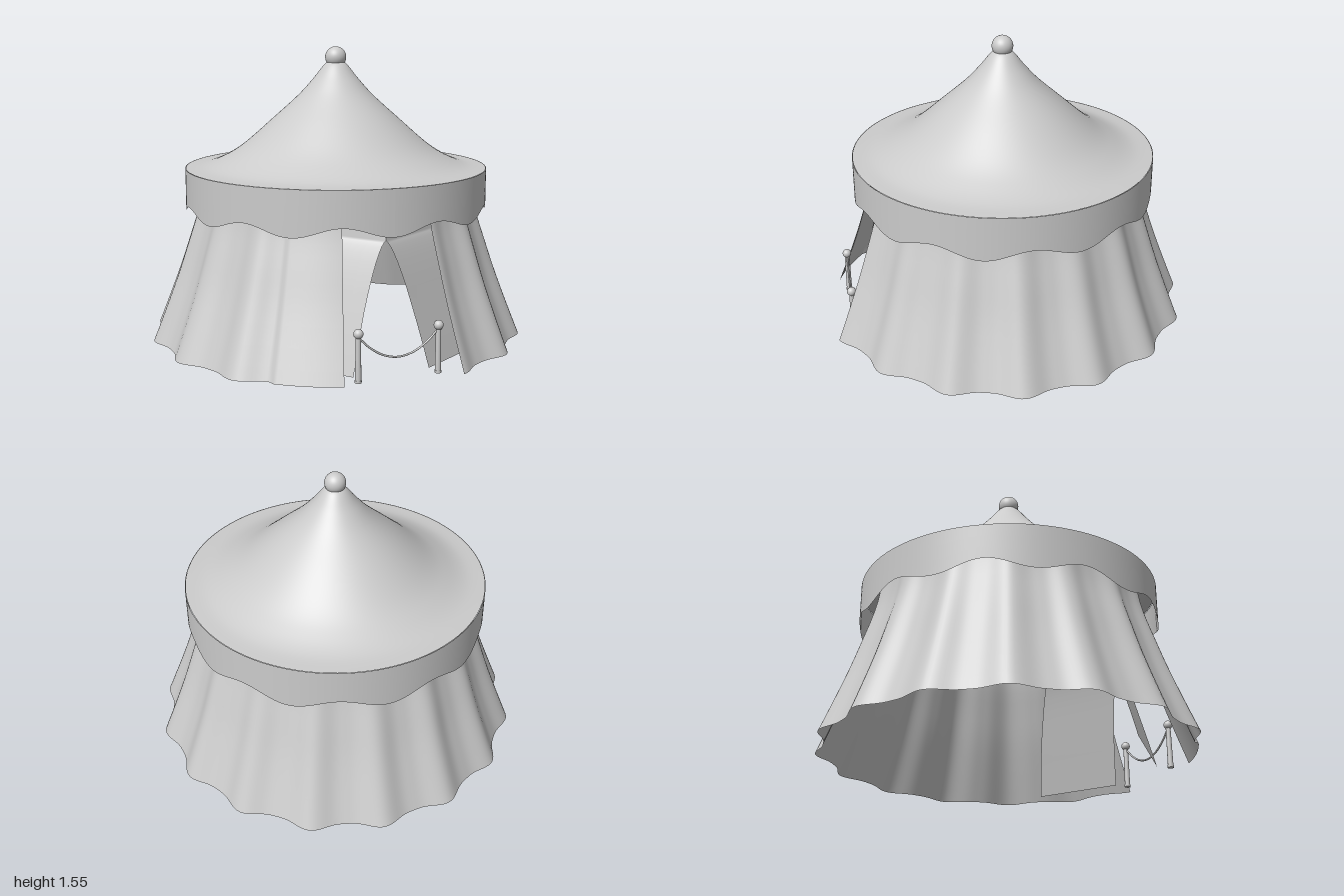
import * as THREE from 'three';

const CZ = 0.03; // z of the tent's axis
const mat = new THREE.MeshStandardMaterial({ color: 0xcccccc, side: THREE.DoubleSide });
const rad = THREE.MathUtils.degToRad;
const lerp = THREE.MathUtils.lerp;

// Smooth sheet: fn(u, v) -> [x, y, z] over a grid of nu by nv cells
function sheet(fn, nu, nv) {
  const pos = [], idx = [];
  for (let j = 0; j <= nv; j++)
    for (let i = 0; i <= nu; i++) pos.push(...fn(i / nu, j / nv));
  for (let j = 0; j < nv; j++)
    for (let i = 0; i < nu; i++) {
      const a = j * (nu + 1) + i, b = a + 1, c = a + nu + 1, d = c + 1;
      idx.push(a, c, b, b, c, d);
    }
  const g = new THREE.BufferGeometry();
  g.setAttribute('position', new THREE.Float32BufferAttribute(pos, 3));
  g.setIndex(idx);
  g.computeVertexNormals();
  return g;
}

// Piecewise linear lookup in [key, value] pairs
function lookup(table, k) {
  for (let i = 1; i < table.length; i++) {
    const [k0, v0] = table[i - 1], [k1, v1] = table[i];
    if (k <= k1) return lerp(v0, v1, (k - k0) / (k1 - k0));
  }
  return table[table.length - 1][1];
}

export function createModel() {
  const model = new THREE.Group();
  model.name = 'roundTent';
  const add = (name, geo, x = 0, y = 0, z = 0, parent = model) => {
    const m = new THREE.Mesh(geo, mat);
    m.name = name;
    m.position.set(x, y, z);
    parent.add(m);
    return m;
  };

  // Flared wall with sixteen folds, open at the front
  const flare = new THREE.SplineCurve([
    [0.945, 0.012], [0.835, 0.31], [0.77, 0.52], [0.715, 0.72], [0.69, 0.91],
  ].map(p => new THREE.Vector2(...p)));
  add('wall', sheet((u, v) => {
    const deg = lerp(162, -162, u);
    const p = flare.getPoint(v);
    const fold = deg < -141 ? 0.35 : Math.pow((1 + Math.cos(rad((deg - 4.8) * 16))) / 2, 1.5);
    const r = p.x + fold * lerp(0.052, 0.02, v);
    const a = rad(deg);
    return [r * Math.sin(a), p.y, CZ - r * Math.cos(a)];
  }, 288, 14));

  // Swept roof
  const roofCurve = new THREE.SplineCurve([
    [0.802, 0.914], [0.7, 0.925], [0.6, 0.965], [0.49, 1.035], [0.33, 1.175],
    [0.2, 1.292], [0.12, 1.38], [0.052, 1.462], [0.001, 1.475],
  ].map(p => new THREE.Vector2(...p)));
  add('roof', new THREE.LatheGeometry(roofCurve.getPoints(48), 96), 0, 0, CZ);

  // Valance with ten waves along its hem
  add('valance', sheet((u, v) => {
    const a = -u * Math.PI * 2;
    const hem = 0.705 - 0.026 * Math.cos(10 * a);
    return [0.804 * Math.sin(a), lerp(hem, 0.914, v), CZ + 0.804 * Math.cos(a)];
  }, 200, 3));

  // Ball on the peak
  add('finial', new THREE.SphereGeometry(0.056, 32, 20), 0, 1.493, CZ);

  // Door flaps, meeting at the top and swept back inside the tent
  const edgeZ = [[0, 0.81], [0.3, 0.765], [0.64, 0.725], [0.9, 0.70]];
  const rows = [0.002, 0.1, 0.2, 0.3, 0.4, 0.48, 0.54, 0.58, 0.61, 0.63, 0.64, 0.9];
  const flap = (name, side, dx, dz) => add(name, sheet((u, v) => {
    const y = rows[Math.round(v * (rows.length - 1))];
    const x = 0.2 * Math.pow(Math.max(0, 1 - y / 0.64), 0.7);
    const len = 0.5 * u * lerp(1, 0.9, y);
    return [side * (x + dx * len), y + 0.01 * u, lookup(edgeZ, y) + dz * len];
  }, 6, rows.length - 1));
  flap('rightFlap', -1, 0.71, -0.71);
  flap('leftFlap', 1, 0.87, -0.48);

  // Rope barrier in front of the door
  const barrier = new THREE.Group();
  barrier.name = 'ropeBarrier';
  model.add(barrier);
  for (const side of [-1, 1]) {
    const x = side * 0.208;
    add('post', new THREE.CylinderGeometry(0.013, 0.015, 0.225, 20), x, 0.123, 0.893, barrier);
    add('postFoot', new THREE.CylinderGeometry(0.017, 0.017, 0.012, 20), x, 0.012, 0.893, barrier);
    add('postKnob', new THREE.SphereGeometry(0.024, 20, 14), x, 0.245, 0.893, barrier);
  }
  const rope = new THREE.CatmullRomCurve3([-1, -0.75, -0.4, 0, 0.4, 0.75, 1].map(
    t => new THREE.Vector3(t * 0.205, 0.11 + 0.115 * t * t, 0.893)));
  add('rope', new THREE.TubeGeometry(rope, 40, 0.005, 8), 0, 0, 0, barrier);

  return model;
}
